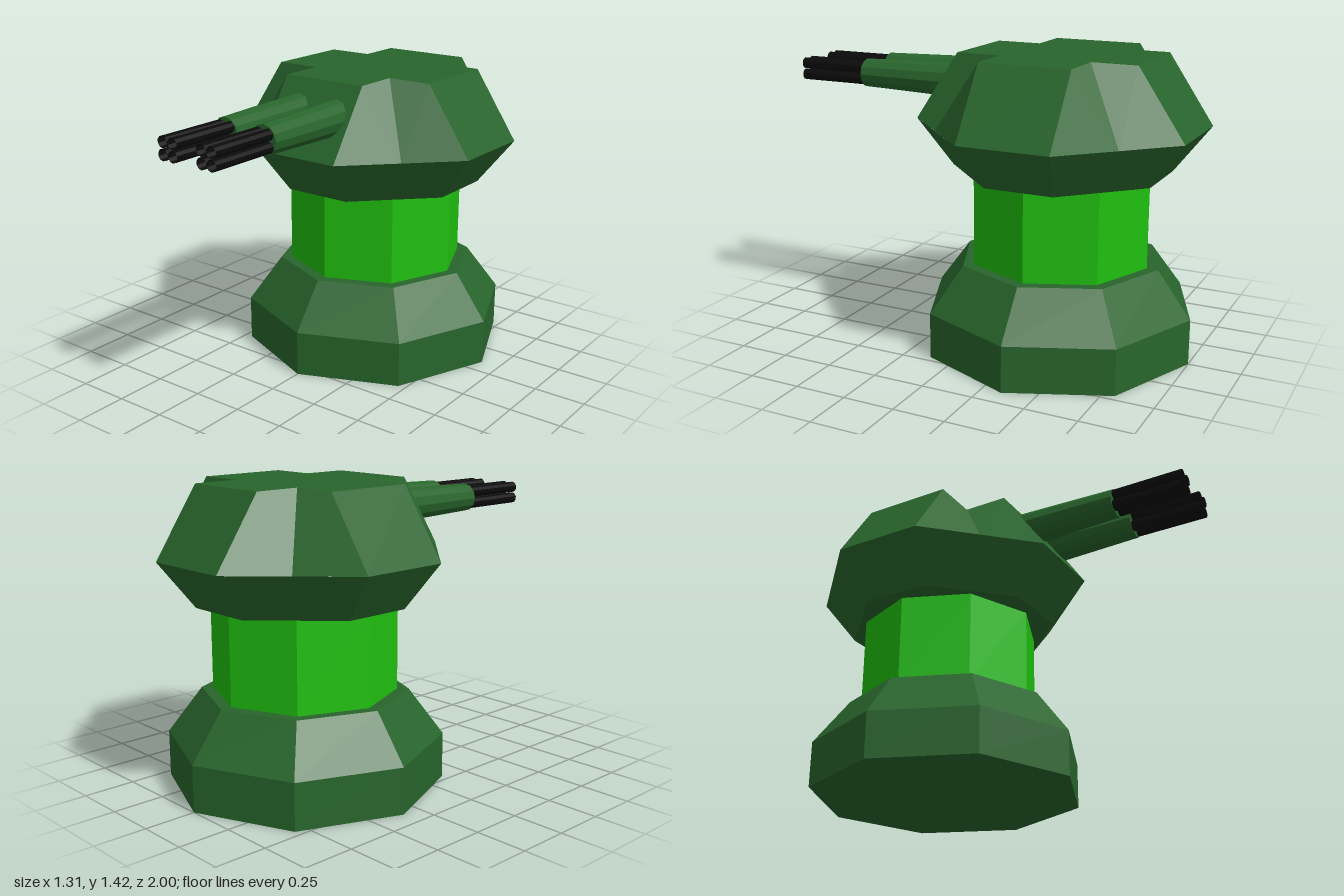
import * as THREE from 'three';

const BODY_Z = -0.345;

function paint(color, extra = {}) {
  return new THREE.MeshStandardMaterial({ color, flatShading: true, ...extra });
}

function addMesh(parent, name, geometry, material, x = 0, y = 0, z = 0) {
  const mesh = new THREE.Mesh(geometry, material);
  mesh.name = name;
  mesh.position.set(x, y, z);
  parent.add(mesh);
  return mesh;
}

// Faceted head: octagonal rim tapering down, and up to a plus-shaped roof.
// One quarter is described and turned four times about y.
function headGeometry() {
  const low = 0.875, mid = 1.095, top = 1.42;
  const a = 0.218, b = 0.436, r = 0.655;
  const lowA = 0.165, lowR = 0.49;
  const quarter = [
    // front slope above and below the rim
    [[-a, mid, r], [a, mid, r], [a, top, b], [-a, top, b]],
    [[-lowA, low, lowR], [lowA, low, lowR], [a, mid, r], [-a, mid, r]],
    // corner: two facets meeting in a valley at the roof notch
    [[b, mid, b], [a, top, a], [a, top, b], [a, mid, r]],
    [[b, top, a], [a, top, a], [b, mid, b], [r, mid, a]],
    // corner below the rim
    [[lowA, low, lowR], [lowR, low, lowA], [r, mid, a], [a, mid, r]],
    // roof arm and quarter of the roof centre
    [[-a, top, b], [a, top, b], [a, top, a], [-a, top, a]],
    [[0, top, 0], [-a, top, a], [a, top, a], [0, top, 0]],
    // underside
    [[0, low, 0], [lowR, low, lowA], [lowA, low, lowR], [-lowA, low, lowR]],
  ];
  const positions = [], normals = [];
  const up = new THREE.Vector3(0, 1, 0);
  for (let turn = 0; turn < 4; turn++) {
    for (const face of quarter) {
      const p = face.map((c) => new THREE.Vector3(...c).applyAxisAngle(up, turn * Math.PI / 2));
      const n = p[2].clone().sub(p[0]).cross(p[3].clone().sub(p[1])).normalize();
      for (const i of [0, 1, 2, 0, 2, 3]) {
        positions.push(...p[i].toArray());
        normals.push(...n.toArray());
      }
    }
  }
  const geometry = new THREE.BufferGeometry();
  geometry.setAttribute('position', new THREE.Float32BufferAttribute(positions, 3));
  geometry.setAttribute('normal', new THREE.Float32BufferAttribute(normals, 3));
  return geometry;
}

export function createModel() {
  const model = new THREE.Group();
  model.name = 'gunTurret';
  const darkGreen = paint(0x28652c);
  const brightGreen = paint(0x1fc00f);
  const black = paint(0x0a0a0a, { side: THREE.DoubleSide });

  // Octagonal base and column
  const body = new THREE.Group();
  body.name = 'body';
  body.position.z = BODY_Z;
  model.add(body);
  addMesh(body, 'basePlinth', new THREE.CylinderGeometry(0.655, 0.655, 0.22, 8), darkGreen, 0, 0.11);
  addMesh(body, 'baseSlope', new THREE.CylinderGeometry(0.49, 0.655, 0.22, 8), darkGreen, 0, 0.33);
  addMesh(body, 'column', new THREE.CylinderGeometry(0.436, 0.436, 0.435, 8), brightGreen, 0, 0.6575);

  // Head keeps one normal per facet
  addMesh(body, 'head', headGeometry(), paint(0x28652c, { flatShading: false }));

  // Twin guns, each a tapered sleeve holding four open barrels
  const sleeve = new THREE.CylinderGeometry(0.069, 0.087, 0.65, 12).rotateX(Math.PI / 2);
  const barrel = new THREE.CylinderGeometry(0.027, 0.027, 0.35, 10, 1, true).rotateX(Math.PI / 2);
  for (const side of [-1, 1]) {
    const gun = new THREE.Group();
    gun.name = side > 0 ? 'leftGun' : 'rightGun';
    gun.position.set(side * 0.108, 1.27, 0);
    model.add(gun);
    addMesh(gun, 'sleeve', sleeve, darkGreen, 0, 0, 0.325);
    for (const x of [-0.028, 0.028]) {
      for (const y of [-0.028, 0.028]) addMesh(gun, 'barrel', barrel, black, x, y, 0.825);
    }
  }
  return model;
}
